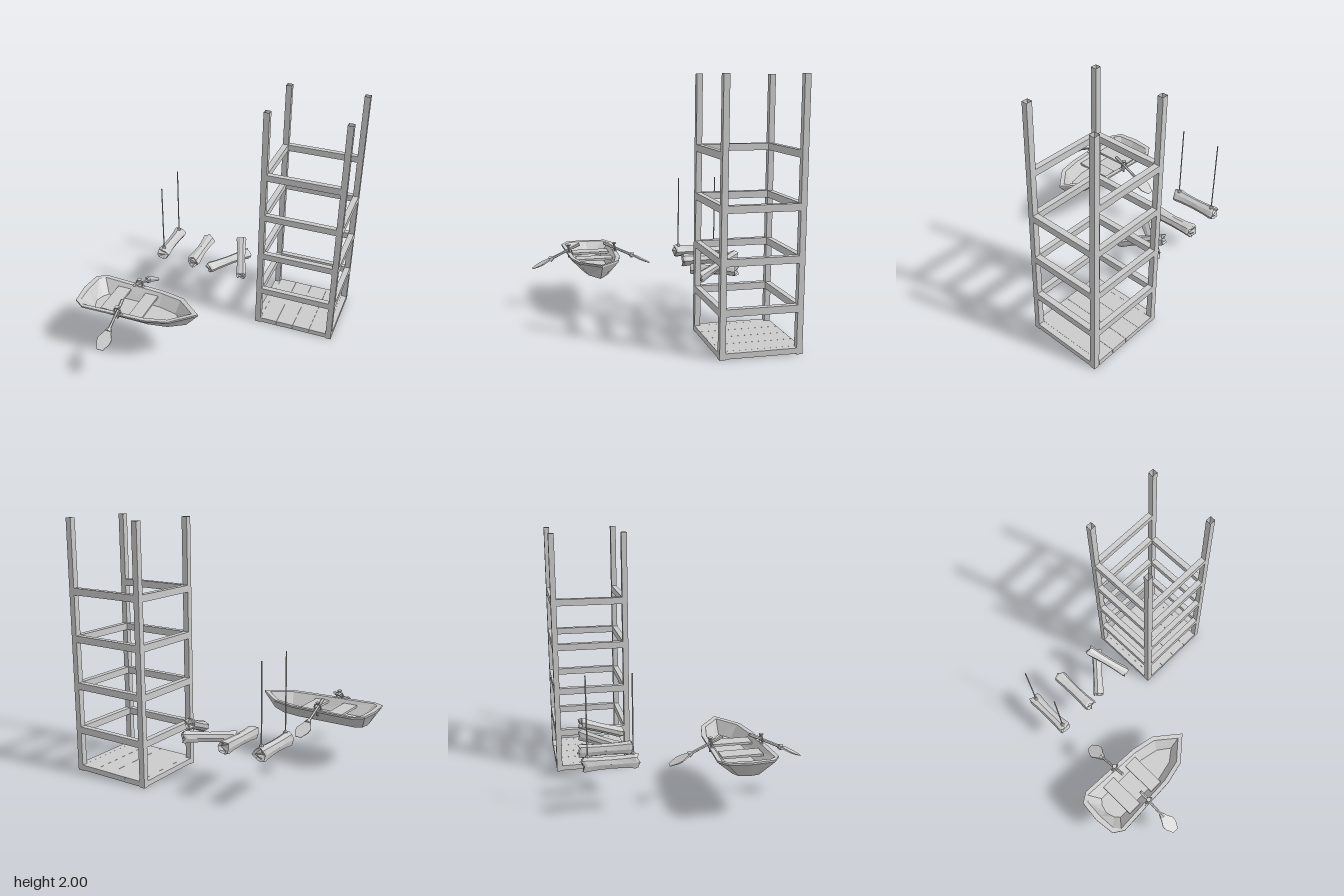
import * as THREE from 'three';

const mat = new THREE.MeshStandardMaterial({ color: 0xcccccc, flatShading: true, side: THREE.DoubleSide });
const V = (x, y, z) => new THREE.Vector3(x, y, z);

function add(parent, name, geo, x = 0, y = 0, z = 0) {
  const m = new THREE.Mesh(geo, mat);
  m.name = name;
  m.position.set(x, y, z);
  parent.add(m);
  return m;
}

// box given by its minimum and maximum corners
function block(parent, name, x0, x1, y0, y1, z0, z1) {
  return add(parent, name, new THREE.BoxGeometry(x1 - x0, y1 - y0, z1 - z0),
    (x0 + x1) / 2, (y0 + y1) / 2, (z0 + z1) / 2);
}

function group(parent, name) {
  const g = new THREE.Group();
  g.name = name;
  parent.add(g);
  return g;
}

// tower of four hollow posts, rails and a plank floor
function buildTower(root) {
  const tower = group(root, 'tower');
  const X = [0.302, 0.35, 0.94, 0.988], Z = [-0.905, -0.86, -0.325, -0.28];
  for (const i of [0, 2]) for (const j of [0, 2]) {
    const g = new THREE.CylinderGeometry(Math.SQRT1_2, Math.SQRT1_2, 2, 4, 1, true).rotateY(Math.PI / 4);
    g.scale(X[i + 1] - X[i], 1, Z[j + 1] - Z[j]);
    add(tower, 'post', g, (X[i] + X[i + 1]) / 2, 1, (Z[j] + Z[j + 1]) / 2);
  }
  [0.315, 0.675, 1.05, 1.42].forEach((y, k) => {
    const t = y + 0.054;
    block(tower, 'frontRail', X[1], X[2], y, t, Z[2], Z[3]);
    block(tower, 'backRail', X[1], X[2], y, t, Z[0], Z[1]);
    block(tower, 'rightRail', X[0], X[1], y, t, Z[1], Z[2]);
    if (k < 3) block(tower, 'leftRail', X[2], X[3], y, t, Z[1], Z[2]); // top left side stays open
  });
  const w = (X[2] - X[1]) / 4;
  for (let i = 0; i < 4; i++) {
    const x = X[1] + i * w;
    block(tower, 'floorPlank', x + 0.0008, x + w - 0.0008, 0.006, 0.048, Z[0], Z[3]);
  }
  block(tower, 'floorEdge', X[0], X[1], 0.006, 0.048, Z[1], Z[2]);
  block(tower, 'floorEdge', X[2], X[3], 0.006, 0.048, Z[1], Z[2]);
}

// closed outline from [x, halfWidth, y] points running stern to bow
function ring(half) {
  const left = half.map(([x, w, y]) => [x, y, w]);
  const right = half.slice(1, -1).reverse().map(([x, w, y]) => [x, y, -w]);
  return [...left, ...right];
}

function loft(rings) {
  const n = rings[0].length, idx = [];
  for (let r = 0; r < rings.length - 1; r++) for (let i = 0; i < n; i++) {
    const a = r * n + i, b = r * n + (i + 1) % n;
    idx.push(a, b, b + n, a, b + n, a + n);
  }
  const top = (rings.length - 1) * n;
  for (let i = 1; i < n - 1; i++) idx.push(0, i + 1, i, top, top + i, top + i + 1);
  const g = new THREE.BufferGeometry();
  g.setAttribute('position', new THREE.Float32BufferAttribute(rings.flat(2), 3));
  g.setIndex(idx);
  const flat = g.toNonIndexed();
  flat.computeVertexNormals();
  return flat;
}

// one oar, built along +z from the grip, pivoting at its rowlock
function buildOar(boat, side) {
  const oar = group(boat, 'oar');
  const pivot = V(-0.58, 0.497, side * 0.2);
  oar.position.copy(pivot);
  oar.rotation.set(0.447, 0, 0);
  if (side < 0) oar.rotation.set(-0.447, Math.PI, 0, 'XYZ');
  const rod = (name, r0, r1, z0, z1, n = 6) =>
    add(oar, name, new THREE.CylinderGeometry(r1, r0, z1 - z0, n).rotateX(Math.PI / 2), 0, 0, (z0 + z1) / 2);
  rod('shaft', 0.011, 0.012, -0.08, 0.18);
  rod('grip', 0.014, 0.014, -0.105, -0.03);
  rod('collar', 0.018, 0.026, 0.155, 0.185);
  // pointed paddle blade
  const s = new THREE.Shape([[-0.024, 0.17], [0.024, 0.17], [0.032, 0.2], [0.06, 0.25], [0.056, 0.29],
    [0.026, 0.35], [-0.026, 0.35], [-0.056, 0.29], [-0.06, 0.25], [-0.032, 0.2]]
    .map(p => new THREE.Vector2(...p)));
  const g = new THREE.ExtrudeGeometry(s, { depth: 0.01, bevelEnabled: false }).rotateX(Math.PI / 2);
  const p = g.attributes.position;
  for (let i = 0; i < p.count; i++) { // taper the blade towards its tip
    const t = (0.36 - p.getZ(i)) / 0.19;
    p.setY(i, (p.getY(i) + 0.005) * (0.25 + 1.2 * t));
  }
  g.computeVertexNormals();
  add(oar, 'blade', g);
  // rowlock: a ring on a short pin with a cross foot
  const lock = group(boat, 'rowlock');
  lock.position.copy(pivot);
  add(lock, 'lockRing', new THREE.TorusGeometry(0.03, 0.007, 5, 10));
  add(lock, 'lockPin', new THREE.CylinderGeometry(0.009, 0.009, 0.05, 6), 0, -0.045, 0);
  add(lock, 'lockFoot', new THREE.BoxGeometry(0.09, 0.012, 0.025), 0, -0.026, 0);
  add(lock, 'lockKnob', new THREE.CylinderGeometry(0.02, 0.012, 0.014, 6), 0, 0.036, 0);
}

function buildBoat(root) {
  const boat = group(root, 'boat');
  boat.position.z = 0.395;
  const keel = [[-0.93, 0, 0.357], [-0.915, 0.075, 0.357], [-0.86, 0.108, 0.357], [-0.36, 0.108, 0.357], [-0.2, 0.08, 0.357], [-0.07, 0, 0.357]];
  const rim = [[-0.995, 0, 0.485], [-0.975, 0.175, 0.484], [-0.89, 0.23, 0.478], [-0.35, 0.207, 0.474], [-0.16, 0.165, 0.482], [0.035, 0, 0.492]];
  const lip = [[-0.95, 0, 0.482], [-0.94, 0.15, 0.481], [-0.9, 0.198, 0.476], [-0.36, 0.172, 0.472], [-0.175, 0.132, 0.478], [-0.02, 0, 0.486]];
  const floor = [[-0.885, 0, 0.376], [-0.865, 0.07, 0.376], [-0.83, 0.112, 0.376], [-0.36, 0.11, 0.376], [-0.2, 0.075, 0.376], [-0.1, 0, 0.376]];
  const lowRim = rim.map(([x, w, y]) => [x, w, y - 0.014]);
  add(boat, 'hull', loft([keel, lowRim, rim, lip, floor].map(ring)));
  block(boat, 'rearSeat', -0.76, -0.64, 0.432, 0.45, -0.158, 0.158);
  block(boat, 'frontSeat', -0.503, -0.388, 0.432, 0.45, -0.153, 0.153);
  buildOar(boat, 1);
  buildOar(boat, -1);
}

// faceted log from a to b with flared, ragged ends
function buildLog(parent, a, b, r, seed) {
  const len = a.distanceTo(b), n = 8, prof = [0.97, 1.08, 0.94, 0.88, 0.94, 1.08, 0.97];
  const at = [0, 0.05, 0.22, 0.5, 0.78, 0.95, 1];
  const rings = at.map((t, k) => Array.from({ length: n }, (_, i) => {
    const ang = -i / n * Math.PI * 2, end = Math.abs(t - 0.5) * 2;
    const q = r * prof[k] * (1 + (0.05 + 0.07 * end) * Math.sin(i * 2.4 + seed));
    const rag = end > 0.85 ? 0.012 * Math.sin(i * 3.7 + seed * 2) : 0;
    return [Math.cos(ang) * q, (t - 0.5) * (len - 0.02) + rag, Math.sin(ang) * q];
  }));
  // recessed end faces
  const inset = (ringPts, dy) => ringPts.map(([x, y, z]) => [x * 0.65, y + dy, z * 0.65]);
  const log = add(parent, 'log', loft([inset(rings[0], 0.01), ...rings, inset(rings[6], -0.01)]));
  log.position.copy(a).add(b).multiplyScalar(0.5);
  log.quaternion.setFromUnitVectors(V(0, 1, 0), b.clone().sub(a).normalize());
}

function buildLogs(root) {
  const hanging = group(root, 'hangingLog');
  buildLog(hanging, V(-0.63, 0.425, -0.355), V(-0.63, 0.425, -0.78), 0.052, 1);
  for (const z of [-0.4, -0.735]) {
    add(hanging, 'ropeKnot', new THREE.SphereGeometry(0.018, 7, 5), -0.626, 0.477, z);
    add(hanging, 'rope', new THREE.CylinderGeometry(0.005, 0.005, 0.61, 6), -0.626, 0.783, z);
  }
  const loose = group(root, 'looseLogs');
  buildLog(loose, V(-0.33, 0.415, -0.355), V(-0.33, 0.415, -0.78), 0.052, 2);
  buildLog(loose, V(-0.203, 0.36, -0.4), V(0.085, 0.4, -0.72), 0.044, 3);
  buildLog(loose, V(0, 0.525, -0.735), V(0.128, 0.372, -0.37), 0.042, 4);
}

export function createModel() {
  const root = new THREE.Group();
  root.name = 'boatLogsAndTower';
  buildTower(root);
  buildBoat(root);
  buildLogs(root);
  return root;
}
